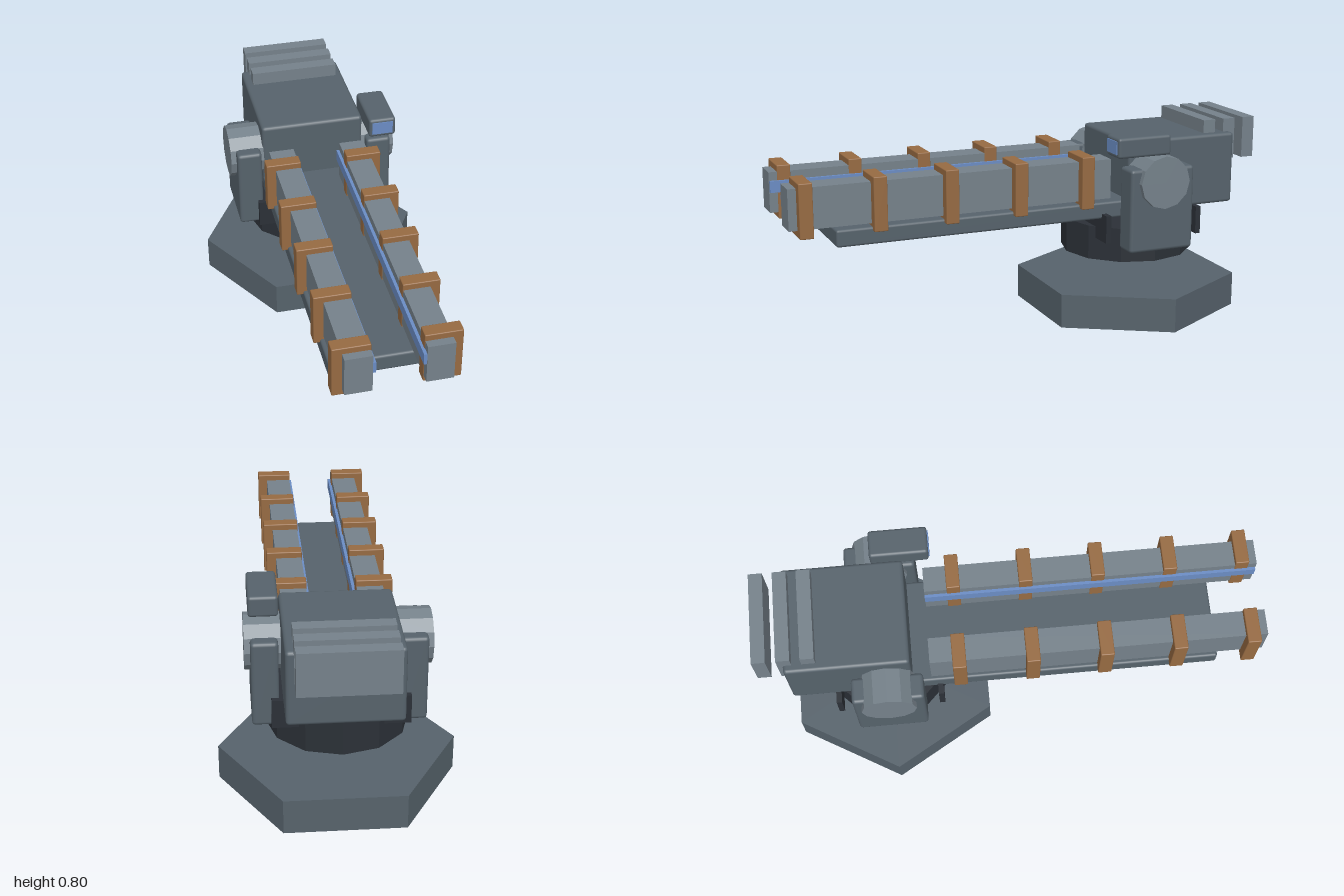
import * as THREE from 'three';
import { RoundedBoxGeometry } from 'three/addons/geometries/RoundedBoxGeometry.js';

const material = (color, flatShading = false) => new THREE.MeshStandardMaterial({ color, flatShading });

export function createModel() {
  const model = new THREE.Group();
  model.name = 'railTurret';

  const hull = material(0x56626b);
  const hullFlat = material(0x56626b, true);
  const dark = material(0x2b3037, true);
  const steel = material(0x75818a, true);
  const copper = material(0x966a42);
  const blue = material(0x6a8cc4);

  const add = (name, geometry, mat, x, y, z) => {
    const mesh = new THREE.Mesh(geometry, mat);
    mesh.name = name;
    mesh.position.set(x, y, z);
    model.add(mesh);
    return mesh;
  };

  // Box given by its extents; a radius rounds its edges
  const box = (name, mat, [x0, x1], [y0, y1], [z0, z1], radius = 0) => {
    const size = [x1 - x0, y1 - y0, z1 - z0];
    const geometry = radius
      ? new RoundedBoxGeometry(...size, 2, radius)
      : new THREE.BoxGeometry(...size);
    return add(name, geometry, mat, (x0 + x1) / 2, (y0 + y1) / 2, (z0 + z1) / 2);
  };

  // Same box on the left and right
  const pair = (name, mat, [x0, x1], y, z, radius) => {
    box(name + 'Left', mat, [x0, x1], y, z, radius);
    box(name + 'Right', mat, [-x1, -x0], y, z, radius);
  };

  // Hexagonal base with corners pointing sideways
  const base = add('base', new THREE.CylinderGeometry(0.46, 0.46, 0.14, 6), hullFlat, 0, 0.07, -0.5);
  base.rotation.y = Math.PI / 6;

  // Turntable and its two cross plates
  add('turntable', new THREE.CylinderGeometry(0.274, 0.274, 0.14, 12), dark, 0, 0.32, -0.5);
  for (const z of [-0.705, -0.295]) {
    box('crossPlate', dark, [-0.258, 0.258], [0.342, 0.456], [z - 0.011, z + 0.011]);
  }

  // Yoke arms and trunnions
  pair('yokeArm', hull, [0.226, 0.329], [0.308, 0.652], [-0.64, -0.358], 0.014);
  for (const side of [1, -1]) {
    const trunnion = add('trunnion', new THREE.CylinderGeometry(0.108, 0.108, 0.14, 12), steel,
      side * 0.281, 0.596, -0.5);
    trunnion.rotation.z = Math.PI / 2;
  }

  // Breech housing and the long cradle under the rails
  box('breech', hull, [-0.215, 0.215], [0.45, 0.746], [-0.888, -0.402], 0.014);
  box('cradle', hull, [-0.215, 0.215], [0.435, 0.504], [-0.42, 0.822], 0.01);

  // Rails with inner glow strips and copper coils
  pair('rail', steel, [0.098, 0.201], [0.515, 0.677], [-0.328, 1]);
  pair('glowStrip', blue, [0.086, 0.1], [0.597, 0.643], [-0.328, 0.998]);
  for (let i = 0; i < 5; i++) {
    const z = -0.212 + i * 0.288;
    pair('coil', copper, [0.096, 0.239], [0.488, 0.702], [z - 0.027, z + 0.027], 0.004);
  }

  // Cooling fins at the rear
  for (let i = 0; i < 3; i++) {
    const z = -0.973 + i * 0.0925;
    box('coolingFin', steel, [-0.184, 0.184], [0.63, 0.8], [z - 0.027, z + 0.027]);
  }

  // Sight with its lens
  box('sight', hull, [0.22, 0.333], [0.704, 0.787], [-0.53, -0.297], 0.012);
  box('sightLens', blue, [0.232, 0.319], [0.72, 0.773], [-0.31, -0.293]);

  return model;
}
